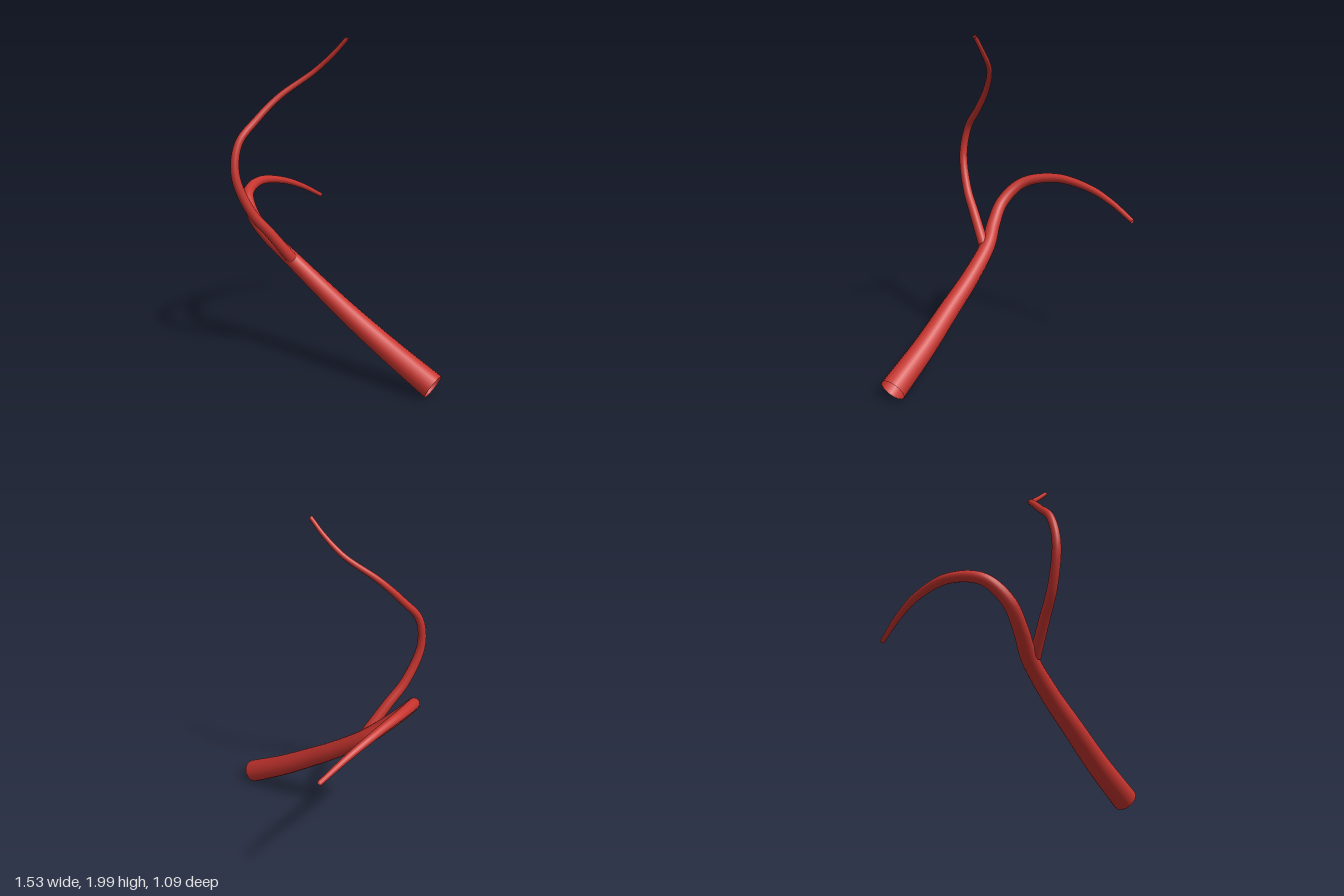
import * as THREE from 'three';

// Open tube along a smooth path, tapering evenly from r0 to r1
function taperedTube(name, points, r0, r1, segments, material) {
  const curve = new THREE.CatmullRomCurve3(points.map((p) => new THREE.Vector3(...p)));
  const sides = 16;
  const geometry = new THREE.TubeGeometry(curve, segments, 1, sides, false);
  const pos = geometry.attributes.position;
  const v = new THREE.Vector3();
  for (let i = 0; i <= segments; i++) {
    const t = i / segments;
    const centre = curve.getPointAt(t);
    const r = THREE.MathUtils.lerp(r0, r1, t);
    for (let j = 0; j <= sides; j++) {
      const k = i * (sides + 1) + j;
      v.fromBufferAttribute(pos, k).sub(centre).multiplyScalar(r).add(centre);
      pos.setXYZ(k, v.x, v.y, v.z);
    }
  }
  const mesh = new THREE.Mesh(geometry, material);
  mesh.name = name;
  return mesh;
}

export function createModel() {
  const group = new THREE.Group();
  group.name = 'branchingVessel';
  const red = new THREE.MeshStandardMaterial({ color: 0xc8352f, side: THREE.DoubleSide });
  red.name = 'red';

  // Main vessel: rises from the thick base, then curls over to the back
  group.add(taperedTube('mainVessel', [
    [0.725, 0.073, -0.095], [0.45, 0.23, -0.02], [0.2, 0.39, 0.055],
    [0, 0.525, 0.11], [-0.2, 0.68, 0.18], [-0.31, 0.795, 0.25],
    [-0.42, 0.915, 0.29], [-0.55, 1.03, 0.24], [-0.67, 1.075, 0.06],
    [-0.732, 1.04, -0.18], [-0.748, 0.975, -0.36], [-0.75, 0.885, -0.535],
  ], 0.076, 0.014, 96, red));

  // Side vessel: leaves the fork, bows forward and climbs to the tip
  group.add(taperedTube('sideVessel', [
    [-0.175, 0.685, 0.195], [-0.21, 0.86, 0.33], [-0.24, 1.0, 0.44],
    [-0.273, 1.22, 0.52], [-0.285, 1.4, 0.485], [-0.27, 1.53, 0.365],
    [-0.225, 1.66, 0.23], [-0.11, 1.8, 0.065], [-0.01, 1.9, 0.005],
    [0.075, 1.99, -0.028],
  ], 0.034, 0.012, 80, red));

  return group;
}
